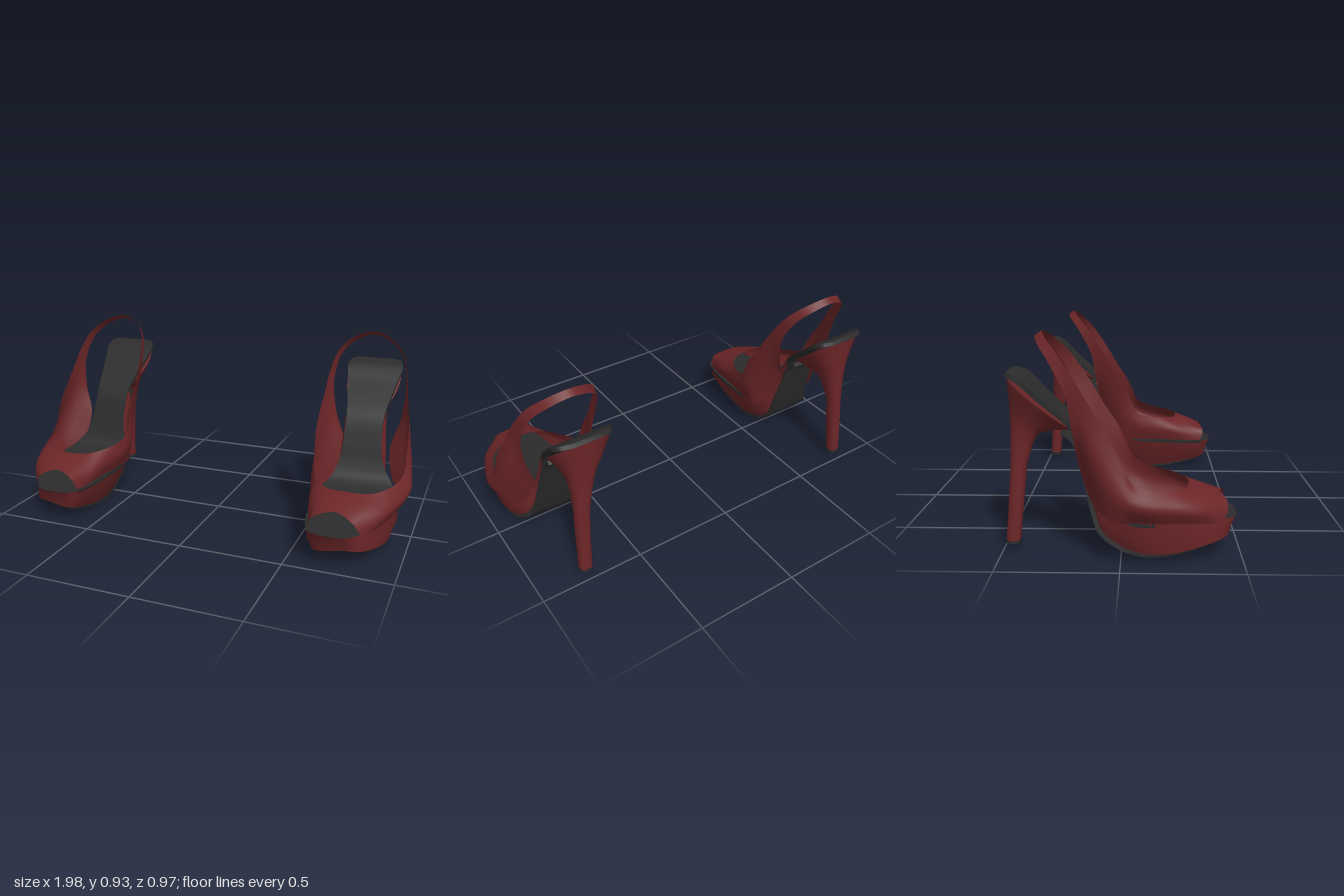
import * as THREE from 'three';
import { toCreasedNormals } from 'three/addons/utils/BufferGeometryUtils.js';

const V = (x, y, z) => new THREE.Vector3(x, y, z);
const leather = new THREE.MeshStandardMaterial({ color: 0x6b2527, side: THREE.DoubleSide });
leather.name = 'dark red leather';
const black = new THREE.MeshStandardMaterial({ color: 0x2b2b2b, side: THREE.DoubleSide });
black.name = 'black sole';

// Resample a list of cross-sections smoothly along its length
function smooth(stations, n, closed = false) {
  const curves = stations[0].map((_, j) => new THREE.CatmullRomCurve3(stations.map(s => s[j]), closed));
  return Array.from({ length: n + 1 }, (_, i) => curves.map(c => c.getPoint(i / n)));
}

// Skin a grid of points; side = -1 mirrors it in x
function loft(rows, side, caps = false) {
  const w = rows[0].length, pos = [], idx = [];
  const tri = (a, b, c) => (side > 0 ? idx.push(a, b, c) : idx.push(a, c, b));
  rows.forEach(r => r.forEach(p => pos.push(p.x * side, p.y, p.z)));
  for (let i = 0; i < rows.length - 1; i++) {
    for (let j = 0; j < w - 1; j++) {
      const a = i * w + j, b = a + w;
      tri(a, b, a + 1);
      tri(b, b + 1, a + 1);
    }
  }
  if (caps) {
    const e = (rows.length - 1) * w;
    for (let j = 1; j < w - 2; j++) {
      tri(0, j, j + 1);
      tri(e, e + j + 1, e + j);
    }
  }
  const g = new THREE.BufferGeometry();
  g.setAttribute('position', new THREE.Float32BufferAttribute(pos, 3));
  g.setIndex(idx);
  return toCreasedNormals(g, 0.7);
}

// Footbed and outsole edges, toe to heel: z, y, inner x, outer x
const footbed = [
  [.483, .163, .66, .74], [.465, .165, .605, .79], [.38, .168, .57, .85], [.2, .178, .545, .925],
  [.05, .19, .542, .942], [-.06, .24, .585, .88], [-.1, .31, .61, .83], [-.13, .4, .62, .81],
  [-.185, .53, .62, .805], [-.33, .67, .587, .835], [-.4, .738, .572, .85], [-.445, .762, .59, .835],
  [-.465, .766, .64, .78],
];
const outsole = [
  [.435, .062, .665, .77], [.42, .055, .625, .81], [.35, .036, .613, .86], [.16, 0, .61, .91],
  [.03, .018, .61, .908], [-.085, .09, .61, .87], [-.12, .18, .612, .84], [-.155, .32, .615, .82],
  [-.205, .48, .62, .805], [-.25, .512, .62, .8],
];
const roll = .03; // the outsole is lifted a little on its outer edge
const inner = s => V(s[2], s[1], s[0]);
const outer = (s, lift) => V(s[3], s[1] + lift * Math.max(0, 1 - s[1] / .2), s[0]);

// Thin slab: the edge line plus a copy of it shifted by (dy, dz)
function slab(list, lift, dy, dz, side) {
  const shift = V(0, dy, dz), none = V(0, 0, 0);
  const [top, low] = dy > 0 ? [shift, none] : [none, shift];
  const rows = list.map(s => {
    const a = inner(s), b = outer(s, lift);
    return [b.clone().add(top), a.clone().add(top), a.clone().add(low), b.clone().add(low), b.clone().add(top)];
  });
  return loft(smooth(rows, 60), side, true);
}

// Platform wall running round the toe from the outer to the inner shank
function platformWall(side) {
  const soleTop = V(0, .012, .016);
  const pair = (hi, lo, out) => [hi, hi.clone().lerp(lo, .5).add(V(out, 0, 0)), lo.add(soleTop)];
  const outside = outsole.slice(0, 9).map((s, i) => pair(outer(footbed[i], 0), outer(s, roll), .008));
  const inside = outsole.slice(0, 9).map((s, i) => pair(inner(footbed[i]), inner(s), -.008));
  return loft(smooth([...outside.reverse(), ...inside], 110), side);
}

// Upper from the middle of the vamp to the middle of the strap:
// top edge (half-width, y, z), bottom edge (half-width, y, z), belly
const upper = [
  [0, .3, .28, 0, .253, .415, 0], [.088, .297, .265, .092, .222, .44, .02],
  [.145, .302, .22, .122, .167, .42, .04], [.195, .315, .13, .18, .176, .22, .035],
  [.217, .345, .05, .2, .183, .07, .042], [.22, .42, .013, .2, .188, -.03, .035],
  [.22, .5, -.027, .137, .24, -.11, .05], [.212, .58, -.08, .115, .38, -.165, .045],
  [.2, .66, -.125, .16, .53, -.19, .01], [.187, .75, -.18, .178, .68, -.215, 0],
  [.158, .84, -.245, .155, .808, -.28, 0], [.09, .9, -.3, .09, .876, -.333, 0],
  [0, .927, -.325, 0, .905, -.355, 0],
];
// The shoe's centre line leans inwards towards the toe and with height
const centre = (y, z) => .75 - .045 * y - .4 * Math.max(0, z - .35);

function upperGeometry(side) {
  const section = ([wt, yt, zt, wb, yb, zb, belly], s) => {
    const top = V(centre(yt, zt) + s * wt, yt, zt), low = V(centre(yb, zb) + s * wb, yb, zb);
    const out = s > 0 ? belly : -belly * .4;
    return [low, low.clone().lerp(top, .5).add(V(out, 0, 0)), top];
  };
  const loop = [...upper.map(r => section(r, 1)), ...upper.slice(1, -1).reverse().map(r => section(r, -1))];
  return loft(smooth(loop, 130, true).map(s => new THREE.CatmullRomCurve3(s).getPoints(8)), side);
}

// Heel rings: front z, y, back z, y, centre x, half-width at front and back
const heelRings = [
  [-.2, .515, -.47, .748, .711, .09, .165], [-.29, .512, -.463, .64, .715, .075, .105],
  [-.345, .495, -.461, .56, .725, .06, .065], [-.39, .38, -.462, .38, .745, .038, .038],
  [-.405, .25, -.47, .25, .755, .034, .034], [-.425, .05, -.484, .05, .765, .031, .031],
].map(([fz, fy, bz, by, cx, wf, wb]) => Array.from({ length: 29 }, (_, i) => {
  const a = i / 28 * Math.PI * 2, s = Math.sin(a), k = (1 - Math.cos(a)) / 2;
  const x = Math.sign(s) * Math.abs(s) ** .65 * (wf + (wb - wf) * k);
  return V(cx + x, fy + (by - fy) * k, fz + (bz - fz) * k);
}));

function createShoe(side) {
  const shoe = new THREE.Group();
  shoe.name = side > 0 ? 'leftShoe' : 'rightShoe';
  const add = (name, geometry, material) => {
    const mesh = new THREE.Mesh(geometry, material);
    mesh.name = name;
    shoe.add(mesh);
  };
  add('insole', slab(footbed, 0, -.016, -.01, side), black);
  add('outsole', slab(outsole, roll, .012, .016, side), black);
  add('platform', platformWall(side), leather);
  add('upperAndStrap', upperGeometry(side), leather);
  add('heel', loft(smooth(heelRings, 40), side, true), leather);
  const stemEnd = heelRings.at(-1);
  add('heelTip', loft([stemEnd, stemEnd.map(p => p.clone().add(V(0, -.014, -.001)))], side, true), black);
  return shoe;
}

export function createModel() {
  const pair = new THREE.Group();
  pair.name = 'slingbackShoes';
  pair.add(createShoe(1), createShoe(-1));
  return pair;
}
